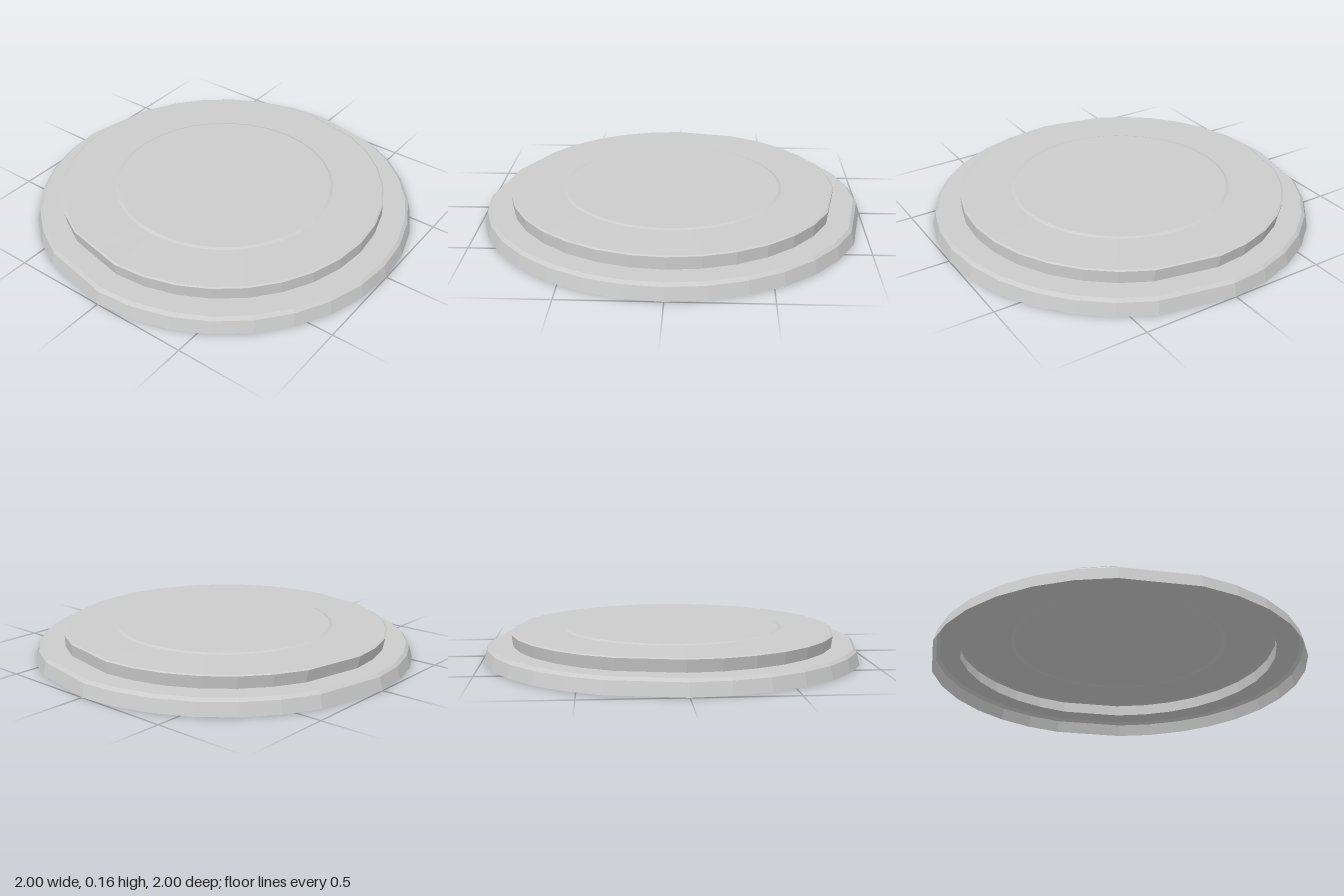
import * as THREE from 'three';

const SIDES = 32;
const SKIPPED = [15, 23, 31]; // corners cut away, leaving longer straight edges

// One ring of corners: radius r, height y, shifted sideways by dx
function makeRing([r, y, dx = 0], skipped) {
  const at = k => {
    const a = (k / SIDES) * Math.PI * 2;
    return new THREE.Vector3(Math.sin(a) * r + dx, y, Math.cos(a) * r);
  };
  return Array.from({ length: SIDES }, (_, k) =>
    skipped.includes(k) ? at(k - 1).lerp(at(k + 1), 0.5) : at(k));
}

// Thin open shell lofted through rings, from the outside upwards and inwards
function shell(name, rings, material) {
  const points = rings.flat();
  const index = [];
  for (let i = 0; i < rings.length - 1; i++) {
    for (let k = 0; k < SIDES; k++) {
      const a = i * SIDES + k, b = i * SIDES + (k + 1) % SIDES;
      index.push(a, b, b + SIDES, a, b + SIDES, a + SIDES);
    }
  }
  const geometry = new THREE.BufferGeometry().setFromPoints(points);
  geometry.setIndex(index);
  geometry.computeVertexNormals();
  const mesh = new THREE.Mesh(geometry, material);
  mesh.name = name;
  return mesh;
}

export function createModel() {
  const group = new THREE.Group();
  group.name = 'steppedLid';
  const material = new THREE.MeshStandardMaterial({
    color: 0xcccccc, flatShading: true, side: THREE.DoubleSide,
  });
  const ring = p => makeRing(p, SKIPPED);
  const round = p => makeRing(p, []);

  const stepFoot = ring([0.85, 0.08, -0.005]);
  const discFoot = round([0.58, 0.152]);

  // Sloping outer wall, bevelled edge and flat ledge
  group.add(shell('rim', [
    ring([1, 0]), ring([0.983, 0.065]), ring([0.966, 0.08]), stepFoot,
  ], material));

  // Raised step with a fine bevel
  group.add(shell('step', [
    stepFoot, ring([0.857, 0.143, -0.012]), ring([0.848, 0.148, -0.012]), discFoot,
  ], material));

  // Slightly raised centre disc
  group.add(shell('centreDisc', [
    discFoot, round([0.565, 0.158]), round([0.001, 0.159]),
  ], material));

  return group;
}
